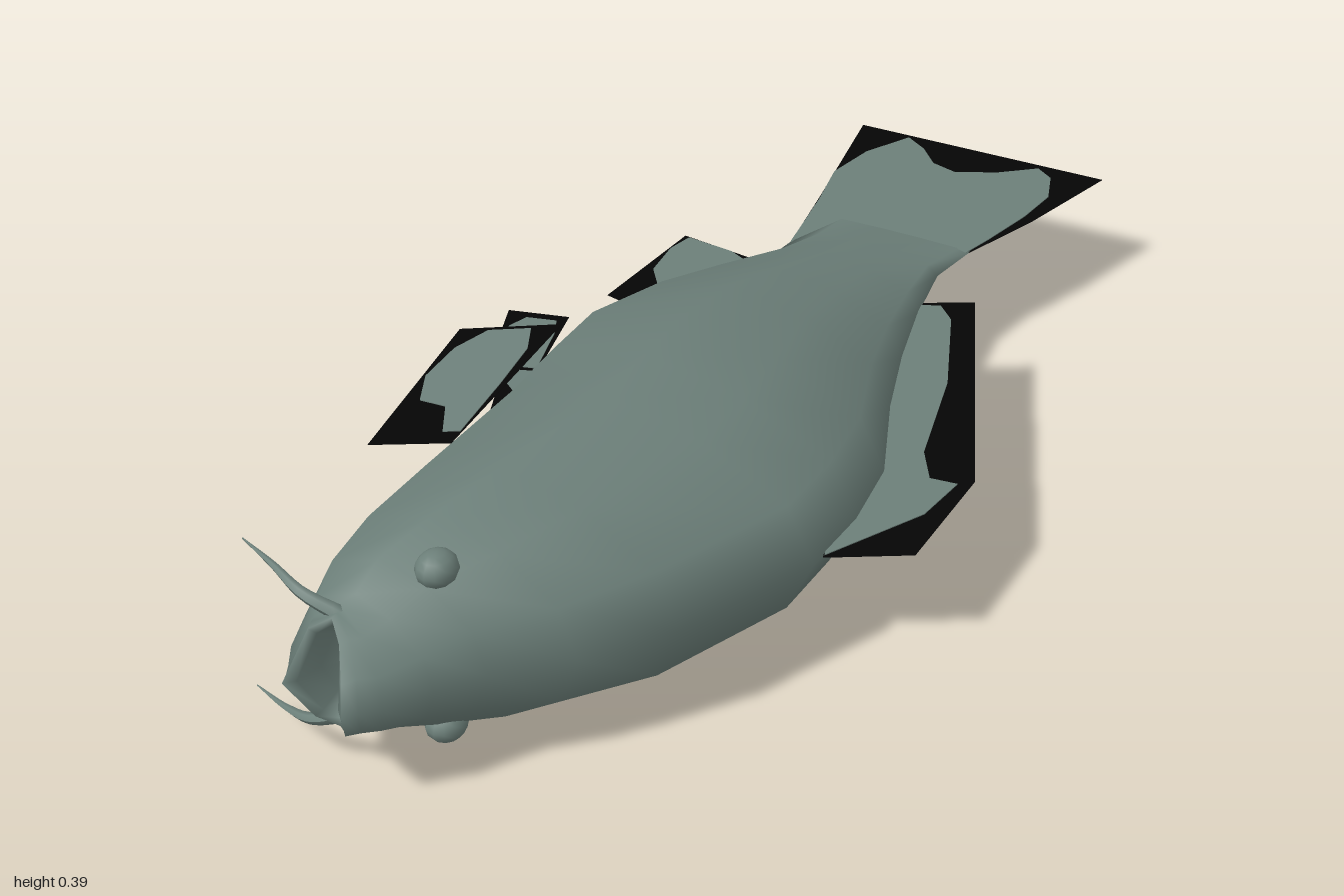
import * as THREE from 'three';

const MID = 0.195; // height of the symmetry plane: the fish lies on its side
const skin = new THREE.MeshStandardMaterial({ name: 'grey green skin', color: 0x6c7f79 });
const edge = new THREE.MeshStandardMaterial({ name: 'black fin edge', color: 0x050505 });

// Half cross-section, from the back (+x) over the flank to the belly (-x)
const HALF = [[1, 0], [0.86, 0.47], [0.4, 0.83], [-0.12, 1], [-0.63, 0.81], [-1, 0]];
const RING = [...HALF, ...HALF.slice(1, -1).reverse().map(([u, v]) => [u, -v])];

// Sections: z, belly x, back x, half thickness, mouth-corner setback
const SECTIONS = [
  [-0.64, -0.18, 0.13, 0.002, 0],
  [-0.53, -0.165, 0.115, 0.033, 0],
  [-0.4, -0.18, 0.14, 0.07, 0],
  [-0.25, -0.235, 0.18, 0.11, 0],
  [-0.1, -0.285, 0.23, 0.15, 0],
  [0.08, -0.332, 0.305, 0.183, 0],
  [0.22, -0.325, 0.325, 0.191, 0],
  [0.36, -0.31, 0.322, 0.194, 0],
  [0.6, -0.29, 0.225, 0.194, 0],
  [0.73, -0.288, 0.135, 0.172, 0],
  [0.82, -0.27, 0.04, 0.143, 0],
  [0.89, -0.245, -0.005, 0.113, 0.02],
  [0.945, -0.222, -0.045, 0.097, 0.05],
  [0.965, -0.212, -0.07, 0.098, 0.06],
  [0.985, -0.205, -0.085, 0.094, 0.07],
  [0.97, -0.19, -0.1, 0.082, 0.06],
  [0.91, -0.18, -0.11, 0.06, 0.03],
  [0.87, -0.15, -0.14, 0.008, 0],
];

function bodyGeometry() {
  const pos = [], idx = [], n = RING.length;
  SECTIONS.forEach(([z, x0, x1, h, bend], i) => {
    const tilt = bend > 0.04 ? 0.015 : 0; // the upper lip reaches further forward
    for (const [u, v] of RING) {
      pos.push((x0 + x1) / 2 + u * (x1 - x0) / 2, v * h, z - bend * v * v + tilt * u);
    }
    if (i === 0) return;
    for (let j = 0; j < n; j++) {
      const a = (i - 1) * n + j, b = (i - 1) * n + (j + 1) % n;
      idx.push(a, b, b + n, a, b + n, a + n);
    }
  });
  const g = new THREE.BufferGeometry();
  g.setAttribute('position', new THREE.Float32BufferAttribute(pos, 3));
  g.setIndex(idx);
  g.computeVertexNormals();
  return g;
}

// Thin plate from [x, z] points, lifted to height(x, z)
function plate(points, thickness, height) {
  const shape = new THREE.Shape(points.map(([x, z]) => new THREE.Vector2(x, -z)));
  const g = new THREE.ExtrudeGeometry(shape, { depth: thickness, bevelEnabled: false });
  const p = g.attributes.position;
  for (let i = 0; i < p.count; i++) {
    const x = p.getX(i), z = -p.getY(i);
    p.setXYZ(i, x, height(x, z) + p.getZ(i) - thickness / 2, z);
  }
  g.computeVertexNormals();
  return g;
}

// Black fin plate with a slightly thicker grey membrane set into it
function fin(name, outline, membrane, height = () => 0) {
  const group = new THREE.Group();
  group.name = name;
  const border = new THREE.Mesh(plate(outline, 0.001, height), edge);
  border.name = name + 'Edge';
  const web = new THREE.Mesh(plate(membrane, 0.004, height), skin);
  web.name = name + 'Membrane';
  group.add(border, web);
  return group;
}

// Whisker tapering to a point
function barbel(side) {
  const curve = new THREE.CatmullRomCurve3([
    [-0.15, 0.085, 0.89], [-0.21, 0.11, 0.9], [-0.27, 0.125, 0.88], [-0.345, 0.13, 0.85],
  ].map(([x, y, z]) => new THREE.Vector3(x, y * side, z)));
  const g = new THREE.TubeGeometry(curve, 12, 0.013, 6);
  const p = g.attributes.position, v = new THREE.Vector3();
  for (let i = 0; i < p.count; i++) {
    const t = g.attributes.uv.getX(i);
    v.fromBufferAttribute(p, i).lerp(curve.getPointAt(t), t * 0.92);
    p.setXYZ(i, v.x, v.y, v.z);
  }
  g.computeVertexNormals();
  return new THREE.Mesh(g, skin);
}

export function createModel() {
  const model = new THREE.Group();
  model.name = 'fish';
  const fish = new THREE.Group();
  fish.name = 'fishOnItsSide';
  fish.position.y = MID;
  model.add(fish);

  const body = new THREE.Mesh(bodyGeometry(), skin);
  body.name = 'body';
  fish.add(body);

  // Fins on the symmetry plane
  fish.add(fin('tailFin',
    [[-0.165, -0.52], [-0.195, -0.69], [-0.255, -1], [0.23, -1], [0.18, -0.79], [0.125, -0.62], [0.11, -0.52]],
    [[-0.165, -0.52], [-0.193, -0.69], [-0.217, -0.8], [-0.2, -0.9], [-0.155, -0.99], [-0.11, -0.96],
      [-0.07, -0.915], [-0.02, -0.9], [0.05, -0.935], [0.11, -0.985], [0.145, -0.96], [0.17, -0.89],
      [0.162, -0.8], [0.14, -0.69], [0.123, -0.62], [0.11, -0.52]]));
  fish.add(fin('dorsalFin',
    [[0.13, -0.43], [0.21, -0.475], [0.44, 0.04], [0.444, 0.265], [0.325, 0.335], [0.28, 0.2], [0.2, -0.1]],
    [[0.13, -0.42], [0.165, -0.435], [0.2, -0.4], [0.28, -0.21], [0.335, 0], [0.375, 0.065], [0.42, 0.06],
      [0.41, 0.16], [0.35, 0.28], [0.325, 0.33], [0.28, 0.2], [0.2, -0.1]]));
  fish.add(fin('analFin',
    [[-0.34, -0.455], [-0.16, -0.43], [-0.22, -0.185], [-0.25, -0.18], [-0.355, -0.205]],
    [[-0.33, -0.45], [-0.24, -0.44], [-0.2, -0.42], [-0.17, -0.38], [-0.22, -0.19], [-0.26, -0.2],
      [-0.285, -0.26], [-0.33, -0.32], [-0.34, -0.4]]));

  // Paired parts on both flanks
  for (const side of [1, -1]) {
    const tag = side > 0 ? 'Upper' : 'Lower';
    fish.add(fin('pectoralFin' + tag,
      [[-0.39, 0.2], [-0.2, 0.2], [-0.195, 0.53], [-0.347, 0.53]],
      [[-0.33, 0.21], [-0.25, 0.21], [-0.22, 0.27], [-0.208, 0.37], [-0.198, 0.5], [-0.23, 0.5],
        [-0.27, 0.43], [-0.33, 0.41], [-0.365, 0.34], [-0.362, 0.26]],
      (x, z) => side * (0.19 + 0.315 * (x + 0.2) - 0.106 * (z - 0.2))));
    fish.add(fin('pelvicFin' + tag,
      [[-0.444, -0.03], [-0.333, -0.04], [-0.285, 0.14], [-0.37, 0.155]],
      [[-0.4, -0.015], [-0.345, -0.02], [-0.325, 0.02], [-0.29, 0.135], [-0.335, 0.14],
        [-0.36, 0.09], [-0.405, 0.06], [-0.412, 0.02]],
      (x) => side * (0.049 + 0.1 * (x + 0.3))));

    const whisker = barbel(side);
    whisker.name = 'barbel' + tag;
    fish.add(whisker);

    const eye = new THREE.Mesh(new THREE.SphereGeometry(0.035, 12, 8), skin);
    eye.name = 'eyeBump' + tag;
    eye.scale.set(0.9, 0.8, 1);
    eye.position.set(-0.055, side * 0.135, 0.79);
    fish.add(eye);
  }
  return model;
}
